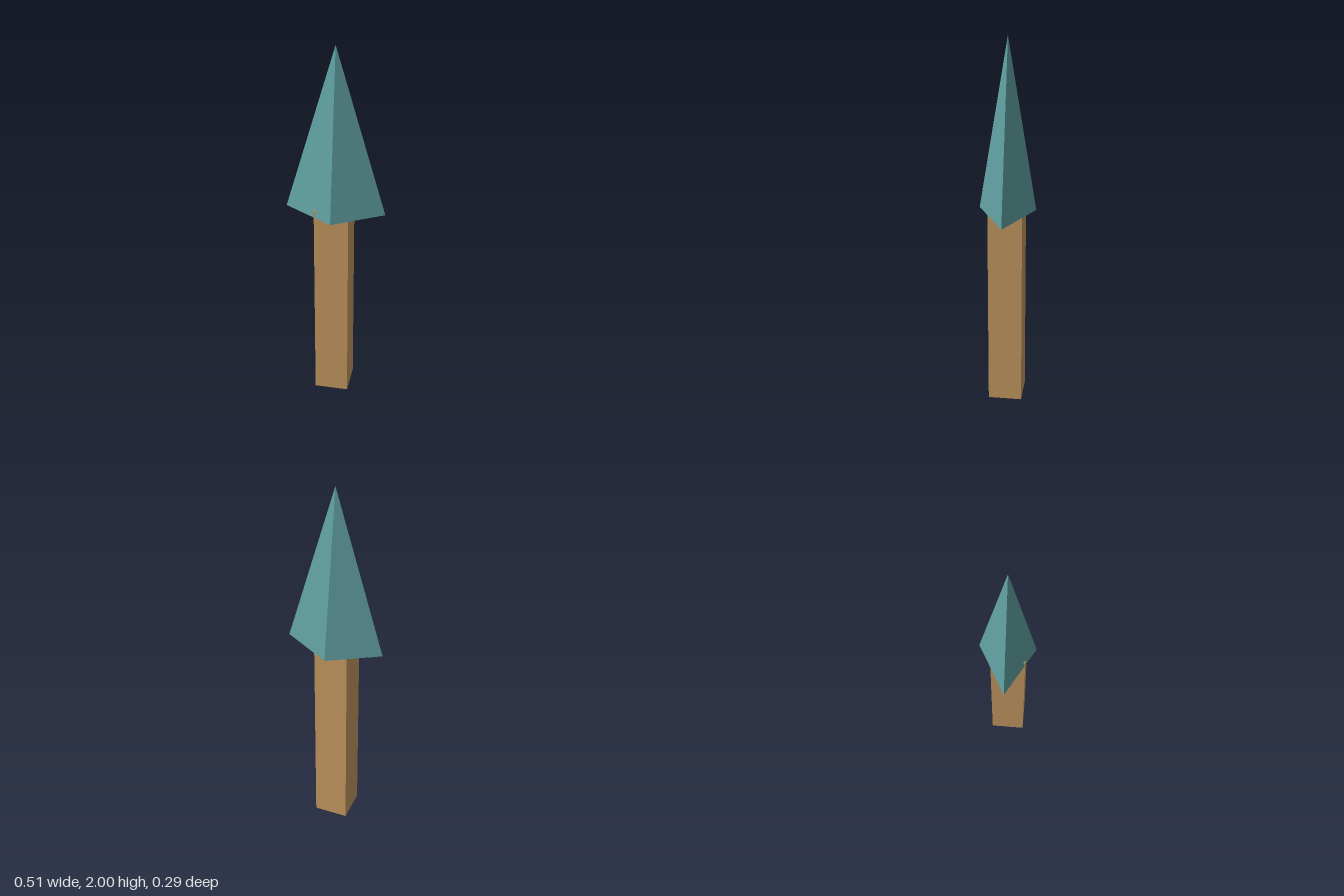
import * as THREE from 'three';

export function createModel() {
  const group = new THREE.Group();
  const baseY = 1.093;

  // Square wooden shaft, set slightly off centre, its top sunk into the head
  const shaftTop = 1.135;
  const shaft = new THREE.Mesh(
    new THREE.BoxGeometry(0.176, shaftTop, 0.176),
    new THREE.MeshStandardMaterial({ color: 0xc1965f, flatShading: true })
  );
  shaft.name = 'shaft';
  shaft.position.set(-0.006, shaftTop / 2, 0.006);
  group.add(shaft);

  // Four-sided pointed head with a diamond base
  const headHeight = 2 - baseY;
  const head = new THREE.Mesh(
    new THREE.ConeGeometry(1, headHeight, 4).scale(0.255, 1, 0.145),
    new THREE.MeshStandardMaterial({ color: 0x5f9ea0, flatShading: true })
  );
  head.name = 'head';
  head.position.y = baseY + headHeight / 2;
  group.add(head);

  return group;
}
